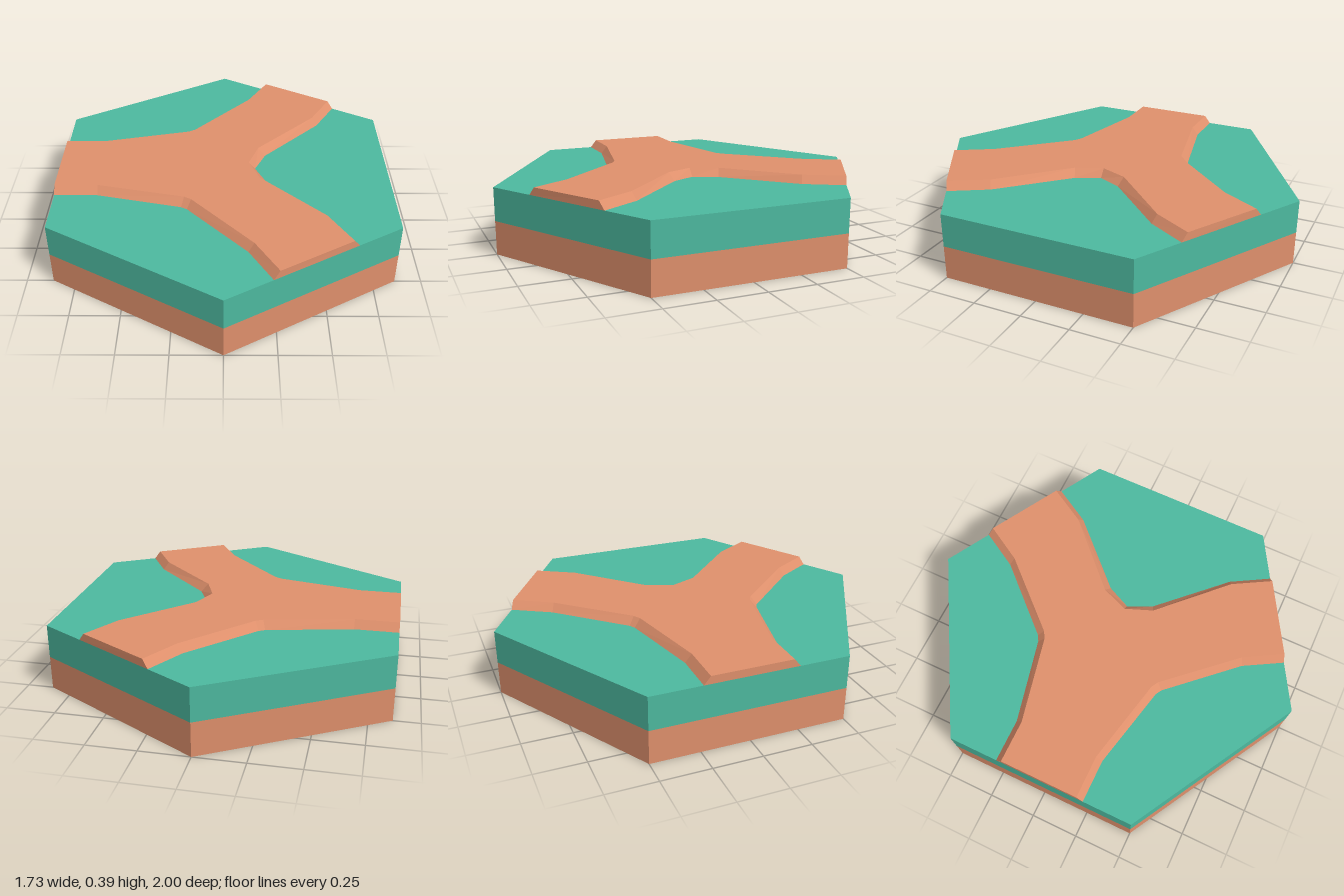
import * as THREE from 'three';

const GROUND = 0.347, SPLIT = 0.174, PATH_TOP = 0.388;

// Back half of the path outline, [x, depth towards the back], from inner apex to left arm.
const LOWER = [[0.164, 0], [0.222, 0.124], [0.53, 0.439], [0.641, 0.63], [0.225, 0.87],
  [0.115, 0.679], [-0.185, 0.355], [-0.215, 0.338], [-0.645, 0.24], [-0.866, 0.24]];
const UPPER = [[0.13, 0], [0.185, 0.14], [0.502, 0.455], [0.612, 0.646], [0.254, 0.8535],
  [0.143, 0.662], [-0.164, 0.326], [-0.2, 0.305], [-0.645, 0.207], [-0.866, 0.207]];

// Mirror a half outline to the front to close the loop.
function fullOutline(half) {
  const front = half.slice(1).reverse().map(([x, d]) => [x, -d]);
  return [...half, ...front].map(([x, d]) => new THREE.Vector2(x, d));
}

// Flat cap on the upper outline, sloped walls down to the lower one.
function pathGeometry() {
  const low = fullOutline(LOWER), top = fullOutline(UPPER);
  const positions = [];
  const push = (p, y) => positions.push(p.x, y, -p.y);
  for (const face of THREE.ShapeUtils.triangulateShape(top, [])) {
    for (const i of face) push(top[i], PATH_TOP);
  }
  for (let i = 0; i < low.length; i++) {
    const j = (i + 1) % low.length;
    push(low[i], GROUND); push(low[j], GROUND); push(top[j], PATH_TOP);
    push(low[i], GROUND); push(top[j], PATH_TOP); push(top[i], PATH_TOP);
  }
  const geometry = new THREE.BufferGeometry();
  geometry.setAttribute('position', new THREE.Float32BufferAttribute(positions, 3));
  geometry.computeVertexNormals();
  return geometry;
}

export function createModel() {
  const dirt = new THREE.MeshStandardMaterial({ color: 0xdf906c });
  dirt.name = 'dirt';
  const grass = new THREE.MeshStandardMaterial({ color: 0x4db99f });
  grass.name = 'grass';
  dirt.flatShading = grass.flatShading = true;

  const model = new THREE.Group();
  model.name = 'hexagonPathTile';

  const add = (name, geometry, material, y = 0) => {
    const mesh = new THREE.Mesh(geometry, material);
    mesh.name = name;
    mesh.position.y = y;
    model.add(mesh);
  };

  // Hexagonal layers with corners at the front and back
  const slab = (height) => new THREE.CylinderGeometry(1, 1, height, 6);
  add('dirtLayer', slab(SPLIT), dirt, SPLIT / 2);
  add('grassLayer', slab(GROUND - SPLIT), grass, (GROUND + SPLIT) / 2);

  // Raised three-way path
  add('path', pathGeometry(), dirt);
  return model;
}
